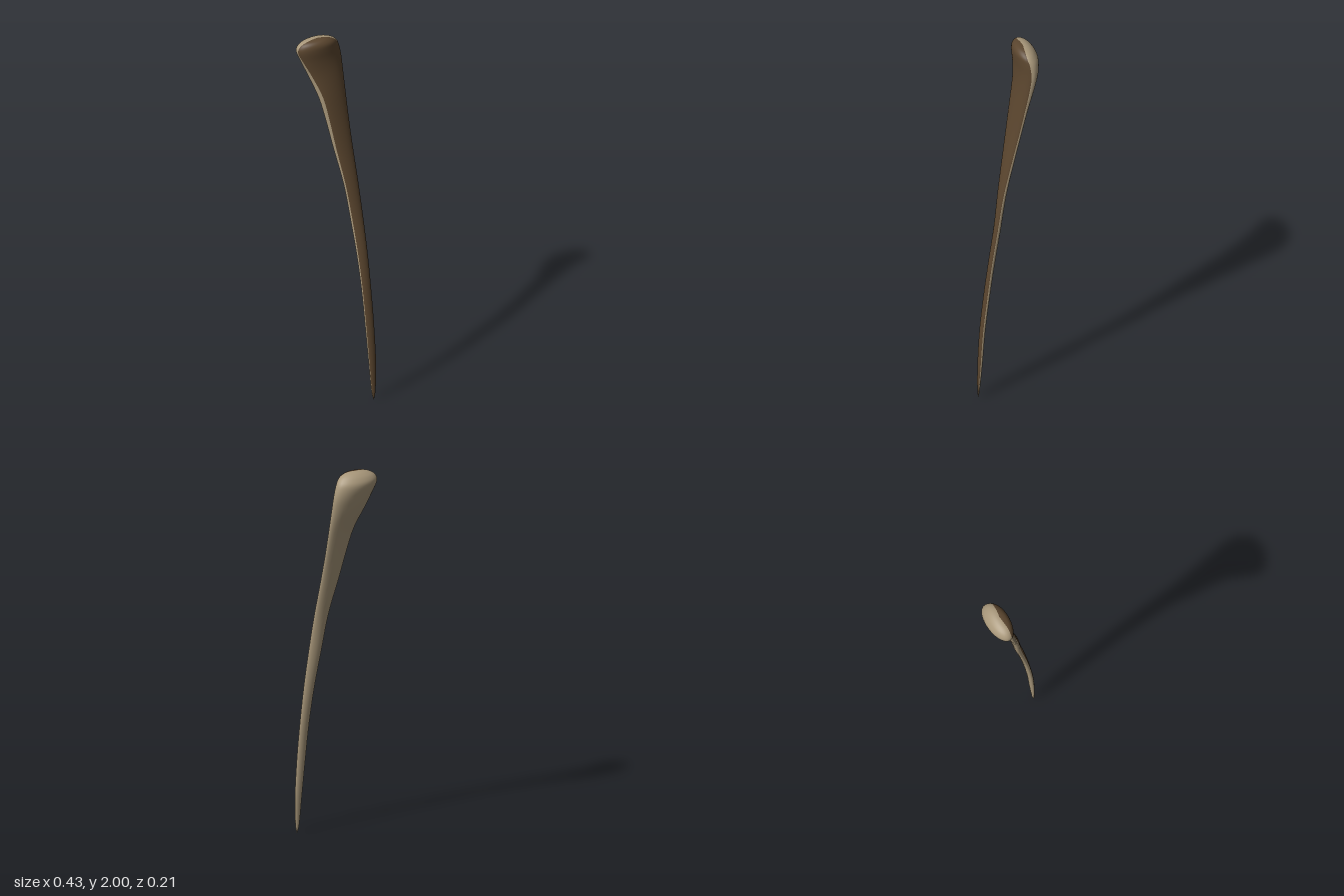
import * as THREE from 'three';

// Cross-sections from tip to head: y, min x, max x, min z, max z, skew, start of the pale side
const SECTIONS = [
  [0.0, 0.209, 0.211, 0.041, 0.043, 0.5, 1.95],
  [0.05, 0.199, 0.216, 0.032, 0.05, 0.5, 1.95],
  [0.2, 0.186, 0.214, 0.021, 0.055, 0.5, 1.95],
  [0.4, 0.166, 0.201, 0.015, 0.055, 0.5, 1.95],
  [0.6, 0.141, 0.179, 0.005, 0.048, 0.5, 1.95],
  [0.8, 0.107, 0.153, -0.005, 0.039, 0.5, 1.95],
  [1.0, 0.066, 0.12, -0.017, 0.033, 0.55, 1.95],
  [1.2, 0.028, 0.084, -0.028, 0.037, 0.6, 1.95],
  [1.4, -0.026, 0.038, -0.048, 0.046, 0.7, 1.9],
  [1.55, -0.065, 0.004, -0.066, 0.052, 0.75, 1.85],
  [1.68, -0.105, -0.022, -0.082, 0.058, 0.75, 1.85],
  [1.8, -0.163, -0.044, -0.098, 0.072, 0.7, 2.0],
  [1.88, -0.197, -0.056, -0.105, 0.09, 0.65, 2.15],
  [1.94, -0.218, -0.062, -0.095, 0.104, 0.6, 2.25],
  [1.972, -0.207, -0.068, -0.073, 0.094, 0.6, 2.3],
  [1.99, -0.182, -0.085, -0.047, 0.07, 0.6, 2.3],
  [1.998, -0.155, -0.105, -0.02, 0.036, 0.6, 2.3],
  [2.0, -0.131, -0.129, 0.007, 0.009, 0.6, 2.3],
];
const PALE_END = 5.9;
const SIDES = 32, STEPS = 4;

export function createModel() {
  const darkBrown = new THREE.MeshStandardMaterial({ name: 'darkBrown', color: 0x5a452e });
  const paleTan = new THREE.MeshStandardMaterial({ name: 'paleTan', color: 0xa8977a });

  // Smooth curves for the centre line, the half-widths and the twist data
  const curve = (pick) => new THREE.CatmullRomCurve3(
    SECTIONS.map((s) => new THREE.Vector3(...pick(s))), false, 'catmullrom', 0.5);
  const centre = curve(([y, x0, x1, z0, z1]) => [(x0 + x1) / 2, y, (z0 + z1) / 2]);
  const size = curve(([, x0, x1, z0, z1]) => [(x1 - x0) / 2, (z1 - z0) / 2, 0]);
  const twist = curve(([, , , , , skew, start]) => [skew, start, 0]);

  // Rings: the first half of the sides is dark, the second half pale
  const rows = (SECTIONS.length - 1) * STEPS;
  const half = SIDES / 2;
  const positions = [];
  for (let i = 0; i <= rows; i++) {
    const c = centre.getPoint(i / rows);
    const r = size.getPoint(i / rows);
    const { x: skew, y: start } = twist.getPoint(i / rows);
    for (let j = 0; j < SIDES; j++) {
      const t = j < half
        ? THREE.MathUtils.lerp(PALE_END - Math.PI * 2, start, j / half)
        : THREE.MathUtils.lerp(start, PALE_END, (j - half) / half);
      positions.push(
        c.x + r.x * Math.cos(t),
        THREE.MathUtils.clamp(c.y, 0, 2),
        c.z + r.y * Math.sin(t - skew));
    }
  }

  // Faces, gathered by colour
  const faces = [[], []];
  for (let i = 0; i < rows; i++) {
    for (let j = 0; j < SIDES; j++) {
      const a = i * SIDES + j, b = i * SIDES + (j + 1) % SIDES;
      const c = a + SIDES, d = b + SIDES;
      faces[j < half ? 0 : 1].push(a, c, b, b, c, d);
    }
  }
  // Tiny end caps
  const top = rows * SIDES;
  for (let j = 1; j < SIDES - 1; j++) {
    faces[0].push(0, j, j + 1, top, top + j + 1, top + j);
  }

  const geometry = new THREE.BufferGeometry();
  geometry.setAttribute('position', new THREE.Float32BufferAttribute(positions, 3));
  geometry.setIndex([...faces[0], ...faces[1]]);
  geometry.addGroup(0, faces[0].length, 0);
  geometry.addGroup(faces[0].length, faces[1].length, 1);
  geometry.computeVertexNormals();

  const spike = new THREE.Mesh(geometry, [darkBrown, paleTan]);
  spike.name = 'curvedSpike';
  const model = new THREE.Group();
  model.name = 'curvedSpikeModel';
  model.add(spike);
  return model;
}
